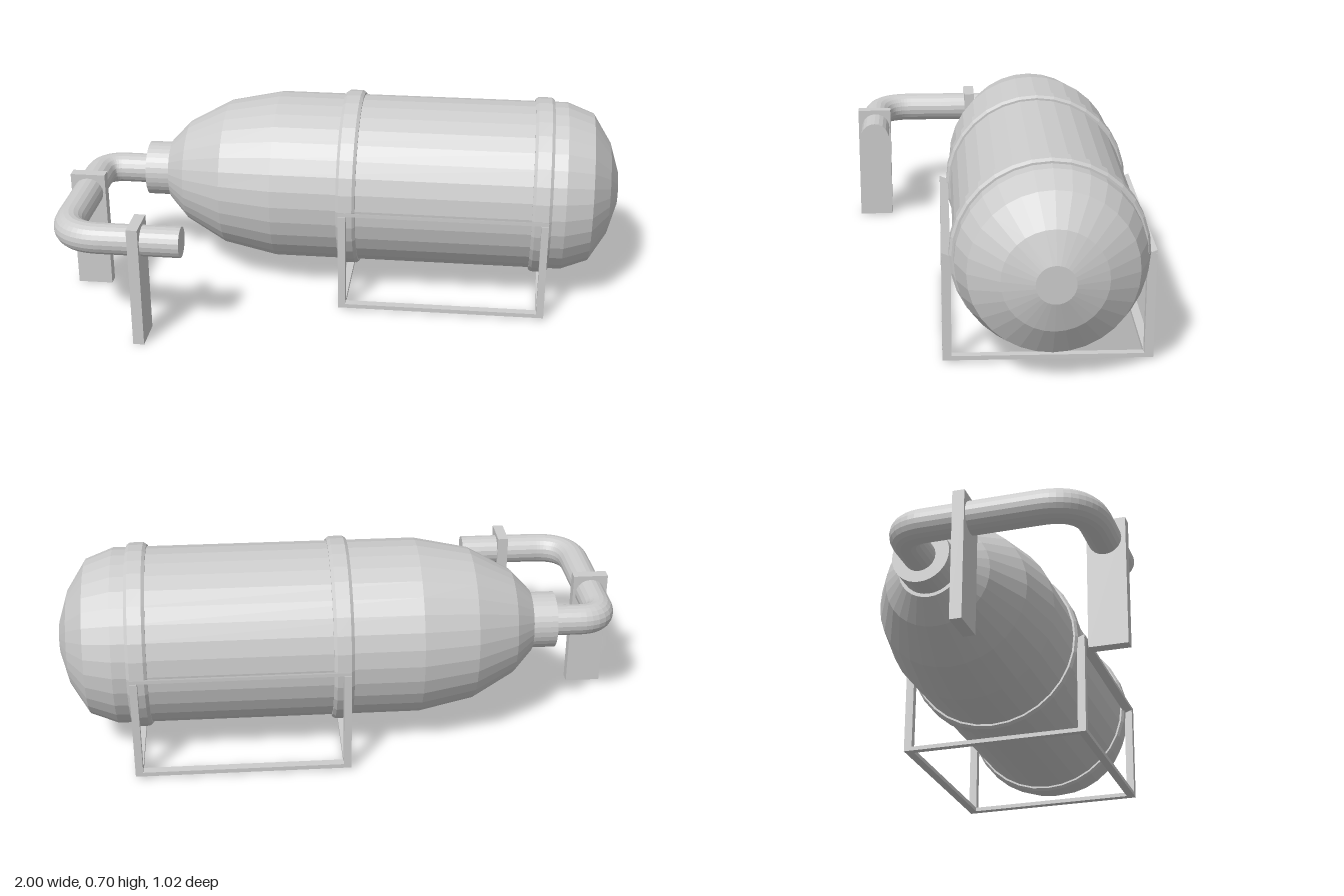
import * as THREE from 'three';

const AXIS_Y = 0.38, AXIS_Z = -0.163;

export function createModel() {
  const model = new THREE.Group();
  model.name = 'tankWithPipe';
  const material = new THREE.MeshStandardMaterial({ color: 0xcccccc, flatShading: true });

  const add = (name, geometry, parent = model) => {
    const mesh = new THREE.Mesh(geometry, material);
    mesh.name = name;
    parent.add(mesh);
    return mesh;
  };
  // Box given by its minimum and maximum corners
  const box = (name, a, b, parent) => {
    const g = new THREE.BoxGeometry(b[0] - a[0], b[1] - a[1], b[2] - a[2]);
    g.translate((a[0] + b[0]) / 2, (a[1] + b[1]) / 2, (a[2] + b[2]) / 2);
    return add(name, g, parent);
  };
  // Profile of [x, radius] turned about the tank axis
  const turned = (name, profile) => {
    const g = new THREE.LatheGeometry(profile.map(([x, r]) => new THREE.Vector2(r, x)), 32);
    g.rotateZ(-Math.PI / 2);
    g.translate(0, AXIS_Y, AXIS_Z);
    return add(name, g);
  };

  // Tank body, neck collar and retaining bands
  turned('tank', [[-0.667, 0], [-0.667, 0.112], [-0.597, 0.187], [-0.447, 0.27], [-0.254, 0.31],
    [0.805, 0.31], [0.902, 0.273], [0.967, 0.17], [1, 0.064], [1, 0]]);
  turned('neckCollar', [[-0.755, 0], [-0.755, 0.1], [-0.66, 0.1], [-0.66, 0]]);
  for (const x of [0.022, 0.722]) {
    turned('band', [[x - 0.035, 0.3], [x - 0.035, 0.317], [x - 0.024, 0.325],
      [x + 0.024, 0.325], [x + 0.035, 0.317], [x + 0.035, 0.3]]);
  }

  // Bent outlet pipe
  const p = (x, z) => new THREE.Vector3(x, 0.375, z);
  const path = new THREE.CurvePath();
  path.add(new THREE.LineCurve3(p(-0.7, -0.165), p(-0.85, -0.165)));
  path.add(new THREE.QuadraticBezierCurve3(p(-0.85, -0.165), p(-0.937, -0.165), p(-0.937, -0.078)));
  path.add(new THREE.LineCurve3(p(-0.937, -0.078), p(-0.937, 0.3)));
  path.add(new THREE.QuadraticBezierCurve3(p(-0.937, 0.3), p(-0.937, 0.442), p(-0.795, 0.442)));
  path.add(new THREE.LineCurve3(p(-0.795, 0.442), p(-0.512, 0.442)));
  add('pipe', new THREE.TubeGeometry(path, 72, 0.055, 20));
  const cap = add('pipeEnd', new THREE.CircleGeometry(0.055, 20));
  cap.rotation.y = Math.PI / 2;
  cap.position.set(-0.512, 0.375, 0.442);

  // Plates holding up the pipe
  box('pipeSupport', [-1, 0, 0.036], [-0.873, 0.445, 0.076]);
  box('pipeSupport', [-0.687, 0, 0.382], [-0.648, 0.445, 0.511]);

  // Cradle frame, mirrored front to back about the tank axis
  const cradle = new THREE.Group();
  cradle.name = 'cradle';
  cradle.position.z = -0.161;
  model.add(cradle);
  const x0 = 0, x1 = 0.747, outer = 0.347, inner = 0.317, w = 0.026;
  for (const s of [1, -1]) {
    const zMin = Math.min(s * inner, s * outer), zMax = Math.max(s * inner, s * outer);
    for (const x of [x0, x1 - w]) box('upright', [x, 0.01, zMin], [x + w, 0.374, zMax], cradle);
    box('bottomRail', [x0, 0.008, zMin], [x1, 0.023, zMax], cradle);
    // Top rail slopes down towards the tank
    const section = new THREE.Shape([[outer, 0.388], [inner, 0.376], [inner, 0.364], [outer, 0.376]]
      .map(([z, y]) => new THREE.Vector2(-s * z, y)));
    const rail = new THREE.ExtrudeGeometry(section, { depth: x1 - x0, bevelEnabled: false });
    rail.rotateY(Math.PI / 2);
    rail.translate(x0, 0, 0);
    add('topRail', rail, cradle);
  }
  for (const x of [x0, x1 - w]) box('crossRail', [x, 0.008, -inner], [x + w, 0.023, inner], cradle);

  return model;
}
